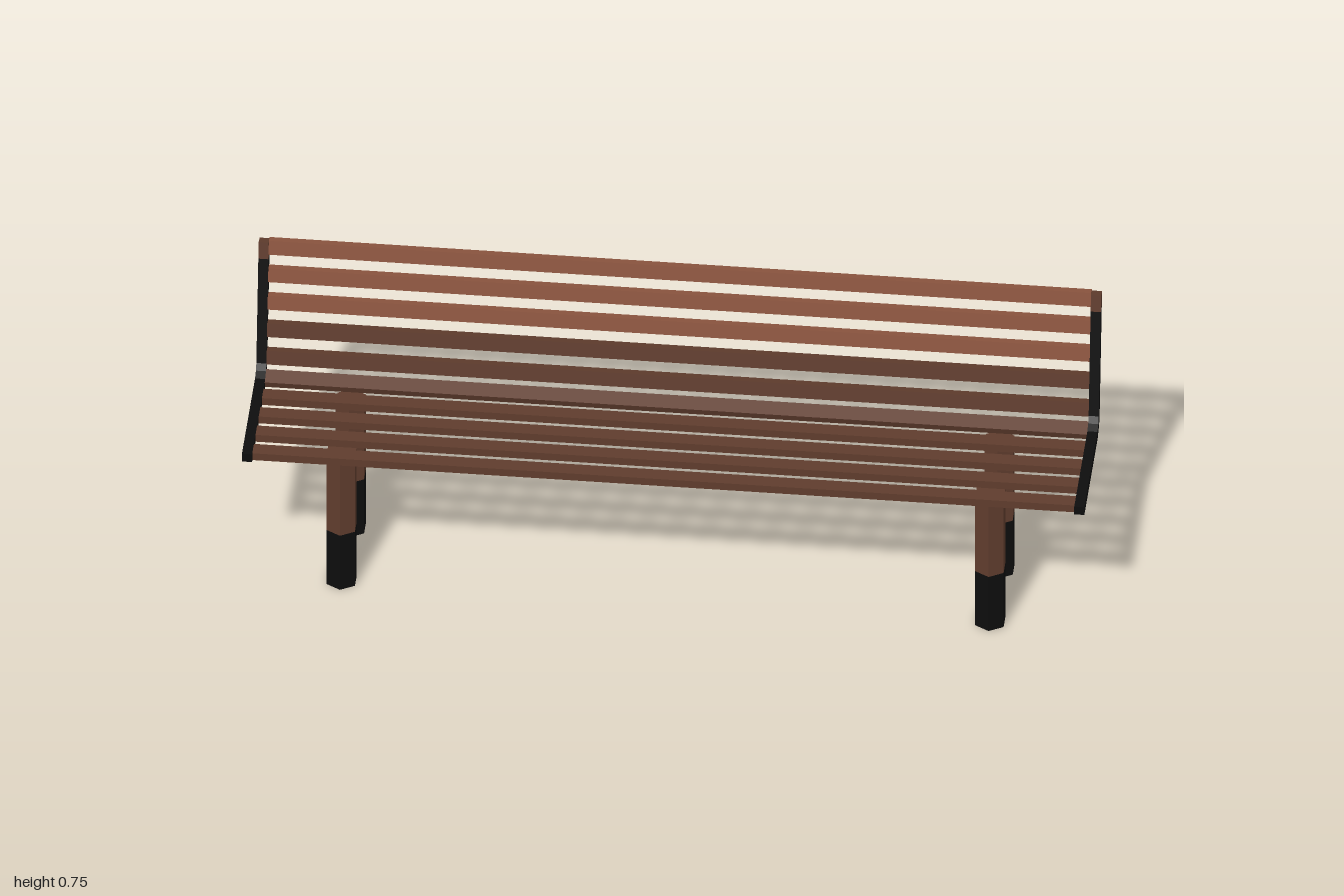
import * as THREE from 'three';

const darkWood = new THREE.MeshStandardMaterial({ color: 0x5f3c2d });
darkWood.name = 'dark wood';
const lightWood = new THREE.MeshStandardMaterial({ color: 0x8c553f });
lightWood.name = 'light wood';
const blackMetal = new THREE.MeshStandardMaterial({ color: 0x0d0d0d });
blackMetal.name = 'black metal';
for (const m of [darkWood, lightWood, blackMetal]) m.flatShading = true;

const FRAME = 0.024; // side frame thickness

export function createModel() {
  const bench = new THREE.Group();
  bench.name = 'bench';

  const add = (name, geometry, material, x = 0, y = 0, z = 0) => {
    const mesh = new THREE.Mesh(geometry, material);
    mesh.name = name;
    mesh.position.set(x, y, z);
    bench.add(mesh);
    return mesh;
  };

  // Side outline given as [z, y] points, extruded across x and centred
  const sidePlate = (points) => {
    const shape = new THREE.Shape(points.map(([z, y]) => new THREE.Vector2(z, y)));
    return new THREE.ExtrudeGeometry(shape, { depth: FRAME, bevelEnabled: false })
      .translate(0, 0, -FRAME / 2)
      .rotateY(-Math.PI / 2);
  };

  // Bent side frames with wooden end caps
  const frame = sidePlate([
    [0.2, 0.38], [0.2, 0.403], [-0.096, 0.403], [-0.116, 0.411], [-0.125, 0.427],
    [-0.17, 0.702], [-0.193, 0.702], [-0.144, 0.412], [-0.132, 0.394], [-0.1, 0.38],
  ]);
  const cap = sidePlate([[-0.17, 0.702], [-0.177, 0.746], [-0.2, 0.742], [-0.193, 0.702]]);
  for (const side of [-1, 1]) {
    add('sideFrame', frame, blackMetal, side * (1 - FRAME / 2));
    add('frameCap', cap, darkWood, side * (1 - FRAME / 2));
  }

  // Slats follow the frame: four flat, one on the bend, five up the back
  const slat = new THREE.BoxGeometry(2 - 2 * FRAME, 0.02, 0.037);
  for (let i = 0; i < 4; i++) {
    add('seatSlat', slat, darkWood, 0, 0.392, 0.176 - i * 0.0723);
  }
  add('bendSlat', slat, darkWood, 0, 0.398, -0.107).rotation.x = 0.38;
  for (let i = 0; i < 5; i++) {
    const y = 0.441 + i * 0.0722;
    const back = add('backSlat', slat, i < 2 ? darkWood : lightWood, 0, y, -0.138 - i * 0.012);
    back.rotation.x = 1.41;
  }

  // Six-sided legs with black feet
  const leg = new THREE.CylinderGeometry(0.039, 0.039, 0.222, 6);
  const foot = new THREE.CylinderGeometry(0.039, 0.039, 0.16, 6);
  for (const x of [-0.77, 0.77]) {
    for (const z of [0.137, -0.069]) {
      add('leg', leg, darkWood, x, 0.271, z);
      add('foot', foot, blackMetal, x, 0.08, z);
    }
  }

  return bench;
}
